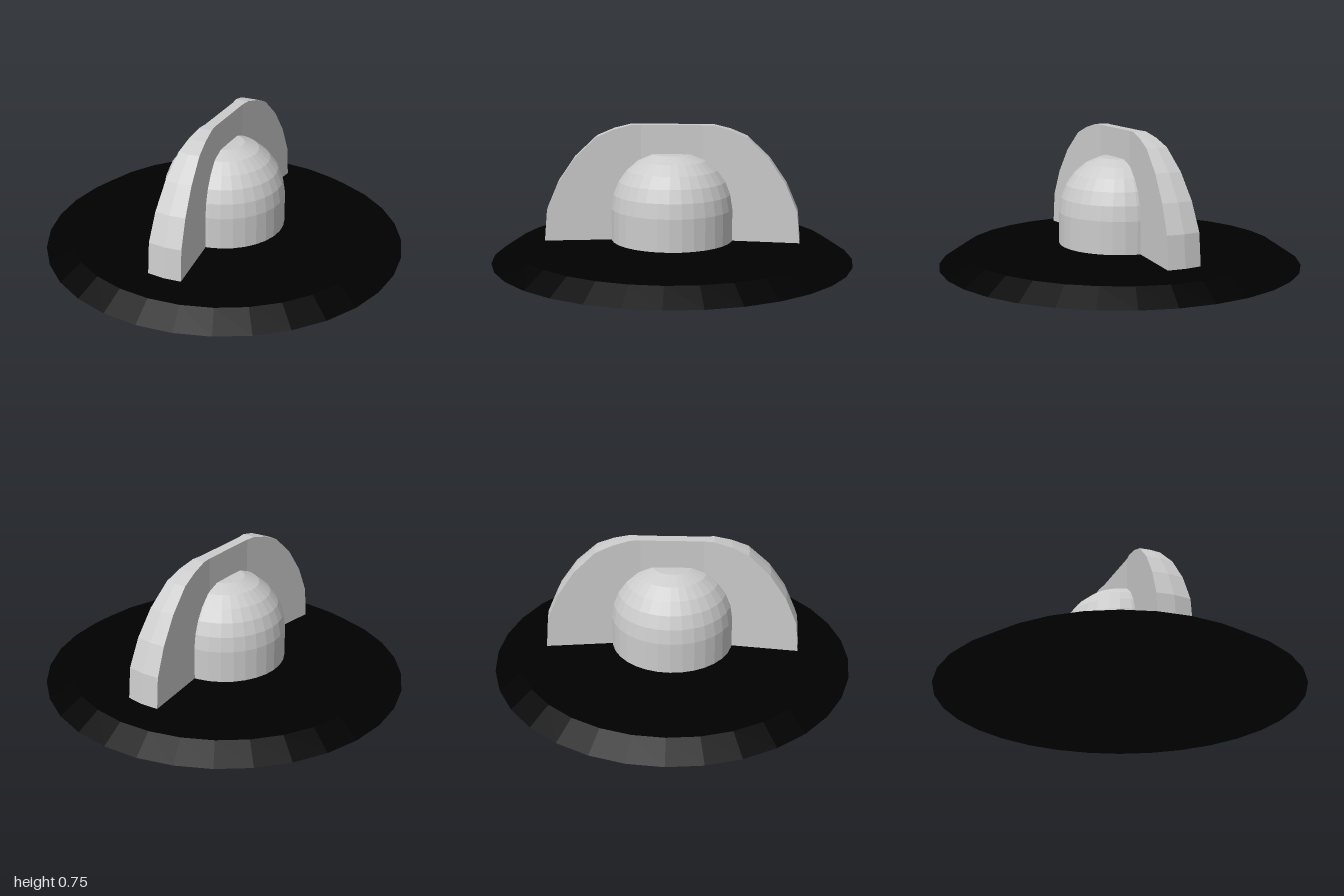
import * as THREE from 'three';

const grey = new THREE.MeshStandardMaterial({ color: 0xcccccc, flatShading: true });
const black = new THREE.MeshStandardMaterial({ color: 0x000000, flatShading: true });

// Turned part from [radius, height] pairs, listed from bottom to top
function turned(name, profile, material) {
  const points = profile.map(([r, y]) => new THREE.Vector2(r, y));
  const mesh = new THREE.Mesh(new THREE.LatheGeometry(points, 32), material);
  mesh.name = name;
  return mesh;
}

// Arched grip: cross-sections along z, thin in the middle and flared to both ends
function gripGeometry() {
  const bottom = 0.107;
  const half = [[0.7, bottom], [0.685, 0.28], [0.622, 0.43], [0.53, 0.567], [0.412, 0.68], [0.32, 0.72], [0.225, 0.745], [0.17, 0.745]];
  const stations = [
    ...half.map(([z, y]) => [-z, y]),
    ...half.slice().reverse(),
  ];
  const positions = [];
  const index = [];
  for (const [z, y] of stations) {
    const w = 0.03 + Math.max(0, Math.abs(z) - 0.17) * 0.123;
    const bowed = Math.abs(z) > 0.2 ? z * 1.014 : z; // outer face bulges slightly
    positions.push(-w, bottom, z, -w, y, z, 0, y, bowed, w, y, z, w, bottom, z);
  }
  for (let i = 0; i < stations.length - 1; i++) {
    for (let k = 0; k < 5; k++) {
      const a = i * 5 + k;
      const b = i * 5 + (k + 1) % 5;
      index.push(a, a + 5, b + 5, a, b + 5, b);
    }
  }
  const geometry = new THREE.BufferGeometry();
  geometry.setAttribute('position', new THREE.Float32BufferAttribute(positions, 3));
  geometry.setIndex(index);
  geometry.computeVertexNormals();
  return geometry;
}

export function createModel() {
  const model = new THREE.Group();
  model.name = 'knob';

  // Wide bevelled disc with a slightly conical top
  model.add(turned('baseDisc', [[0, 0], [1, 0], [0.875, 0.083], [0, 0.108]], black));

  // Domed hub with a flat crown
  model.add(turned('hub', [
    [0, 0.107], [0.338, 0.107], [0.338, 0.285], [0.325, 0.365], [0.297, 0.435],
    [0.252, 0.497], [0.19, 0.55], [0.11, 0.584], [0, 0.586],
  ], grey));

  const grip = new THREE.Mesh(gripGeometry(), grey);
  grip.name = 'grip';
  model.add(grip);

  return model;
}
